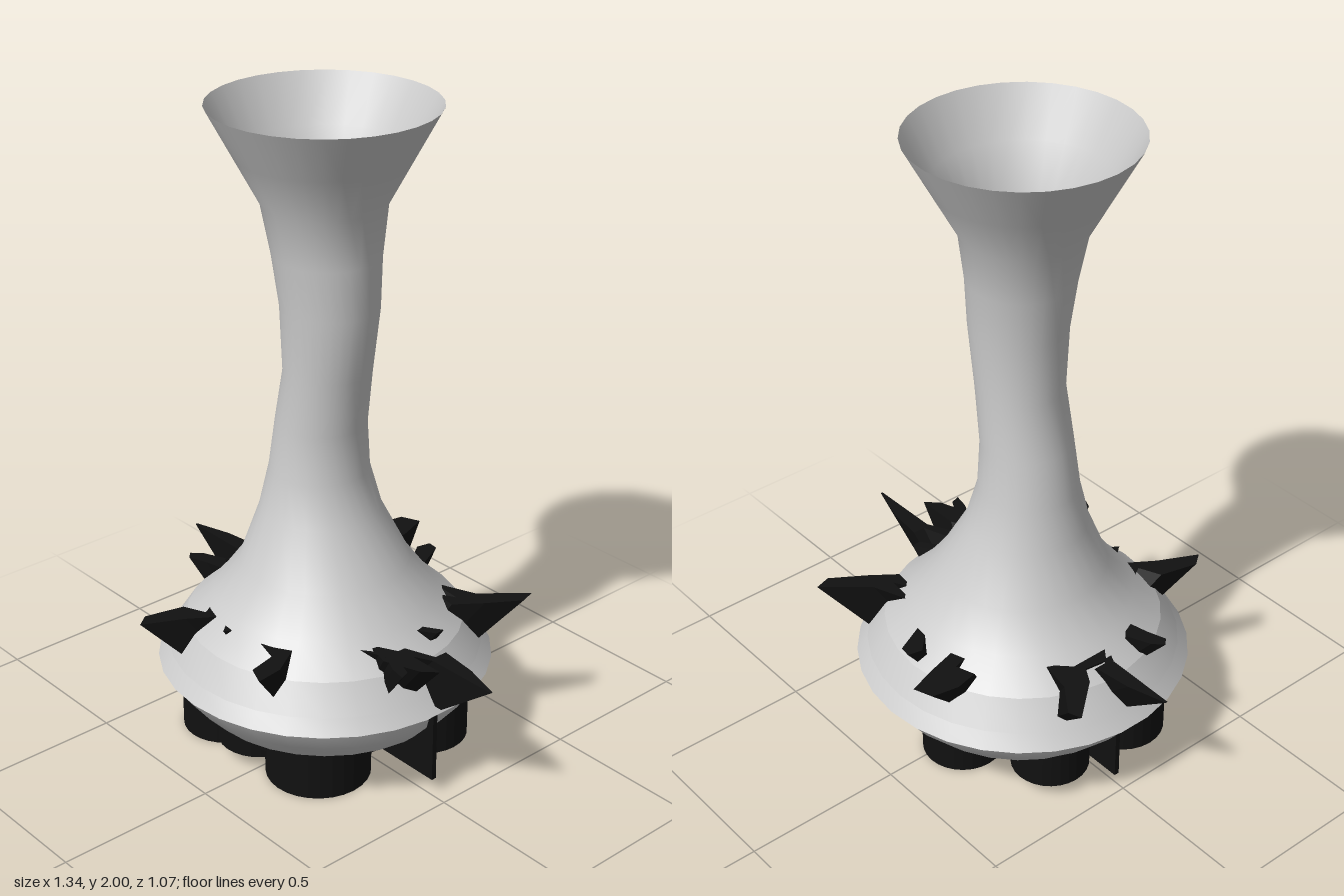
import * as THREE from 'three';

const grey = new THREE.MeshStandardMaterial({ color: 0xcccccc, side: THREE.DoubleSide });
const black = new THREE.MeshStandardMaterial({ color: 0x111111, side: THREE.DoubleSide });

function add(group, name, geometry, material) {
  const mesh = new THREE.Mesh(geometry, material);
  mesh.name = name;
  group.add(mesh);
}

// Skin over rings given as [y, centre x, radius x, radius z], listed bottom to top
function loft(rings, sides = 30) {
  const pos = [], index = [], row = sides + 1;
  rings.forEach(([y, cx, rx, rz = rx], j) => {
    for (let i = 0; i <= sides; i++) {
      const a = (i % sides) / sides * Math.PI * 2;
      pos.push(cx + rx * Math.sin(a), y, -0.008 + rz * Math.cos(a));
      if (j && i < sides) {
        const p = (j - 1) * row + i;
        index.push(p, p + 1, p + row, p + 1, p + row + 1, p + row);
      }
    }
  });
  const g = new THREE.BufferGeometry();
  g.setAttribute('position', new THREE.Float32BufferAttribute(pos, 3));
  g.setIndex(index);
  g.computeVertexNormals();
  // Match the normals across the closing seam
  const n = g.attributes.normal, v = new THREE.Vector3(), w = new THREE.Vector3();
  rings.forEach((_, j) => {
    const a = j * row, b = a + sides;
    v.fromBufferAttribute(n, a).add(w.fromBufferAttribute(n, b)).normalize();
    n.setXYZ(a, v.x, v.y, v.z);
    n.setXYZ(b, v.x, v.y, v.z);
  });
  return g;
}

// Plan outline in (x, z), extruded downwards between two heights
function slab(shape, bottom, top) {
  const g = new THREE.ExtrudeGeometry(shape, { depth: top - bottom, bevelEnabled: false, curveSegments: 14 });
  return g.rotateX(Math.PI / 2).translate(0, top, 0);
}

// Leaf-like spike: flat top, underside drawn in towards the axis
function spike(outline, top) {
  const bottom = 0.31;
  const g = slab(new THREE.Shape(outline.map(([x, z]) => new THREE.Vector2(x, z))), bottom, top);
  const p = g.attributes.position;
  for (let i = 0; i < p.count; i++) {
    if (p.getY(i) < bottom + 0.01) p.setXYZ(i, p.getX(i) * 0.71, bottom, p.getZ(i) * 0.71);
  }
  g.computeVertexNormals();
  return g;
}

// Round lobe with a curved slot cut through it
function lobe(x, z, r, turn) {
  const s = new THREE.Shape();
  s.absarc(x, z, r, 0, Math.PI * 2);
  const slot = new THREE.Path();
  slot.absarc(x, z, r * 0.72, turn, turn + 2.2, false);
  slot.absarc(x, z, r * 0.45, turn + 2.2, turn, true);
  s.holes.push(slot);
  return s;
}

export function createModel() {
  const model = new THREE.Group();

  // Vase body
  const body = new THREE.Group();
  body.name = 'vaseBody';
  model.add(body);
  add(body, 'neckAndFunnel', loft([
    [0.42, -0.04, 0.42], [0.5, -0.04, 0.335], [0.61, -0.04, 0.255], [0.77, -0.06, 0.183],
    [0.9, -0.065, 0.15], [1.05, -0.056, 0.136], [1.22, -0.027, 0.13], [1.42, -0.018, 0.152, 0.138],
    [1.57, -0.03, 0.16, 0.155], [1.72, -0.04, 0.18], [1.86, -0.04, 0.255], [2, -0.04, 0.33],
  ]), grey);
  add(body, 'shoulder', loft([[0.335, -0.04, 0.475], [0.42, -0.04, 0.42]]), grey);
  add(body, 'flange', loft([[0.29, -0.04, 0.508], [0.335, -0.04, 0.475]]), grey);
  add(body, 'flangeUnderside', loft([[0.285, -0.037, 0.475, 0.5], [0.29, -0.04, 0.508]]), grey);
  add(body, 'lowerBowl', loft([
    [0.155, -0.035, 0.395], [0.22, -0.035, 0.455], [0.285, -0.037, 0.475, 0.5],
  ]), grey);

  // Spikes breaking through the shoulder
  const spikes = new THREE.Group();
  spikes.name = 'spikes';
  model.add(spikes);
  [
    [[-0.24, -0.51], [-0.18, -0.535], [-0.15, -0.45], [-0.12, -0.34], [-0.16, -0.3], [-0.18, -0.38], [-0.24, -0.36], [-0.255, -0.43]],
    [[-0.05, -0.455], [-0.015, -0.45], [0.035, -0.345], [-0.01, -0.36], [-0.06, -0.41]],
    [[0.38, -0.47], [0.395, -0.42], [0.33, -0.32], [0.27, -0.24], [0.19, -0.25], [0.25, -0.28], [0.14, -0.29], [0.27, -0.34]],
    [[0.28, -0.07], [0.36, -0.12], [0.36, -0.09], [0.3, -0.05]],
    [[0.52, 0.05], [0.48, 0.09], [0.37, 0.13], [0.28, 0.1], [0.38, 0.05]],
    [[0.47, 0.15], [0.42, 0.14], [0.36, 0.11], [0.28, 0.14], [0.36, 0.08], [0.46, 0.12]],
    [[0.22, 0.465], [0.16, 0.44], [0.14, 0.35], [0.06, 0.33], [0.15, 0.28], [0.21, 0.38]],
    [[-0.06, 0.37], [-0.1, 0.32], [-0.03, 0.32]],
    [[-0.25, 0.53], [-0.28, 0.49], [-0.25, 0.37], [-0.18, 0.34], [-0.22, 0.27], [-0.13, 0.32], [-0.19, 0.41]],
    [[-0.5, 0.15], [-0.48, 0.17], [-0.42, 0.15], [-0.33, 0.13], [-0.4, 0.09], [-0.47, 0.12]],
    [[-0.58, -0.25], [-0.54, -0.265], [-0.45, -0.2], [-0.34, -0.18], [-0.4, -0.12], [-0.4, 0], [-0.44, -0.03], [-0.43, -0.1], [-0.48, -0.13]],
  ].forEach((outline) => add(spikes, 'spike', spike(outline, 0.48), black));
  for (const s of [-1, 1]) {
    add(spikes, 'longSpike', spike([
      [0.67, -0.01], [0.55, -0.045], [0.43, -0.06], [0.43, -0.02], [0.29, 0.03], [0.32, 0.06], [0.44, 0], [0.67, -0.003],
    ].map(([x, z]) => [s * x, z]), 0.46), black);
  }

  // Dark slotted base under the bowl
  const base = new THREE.Group();
  base.name = 'base';
  model.add(base);
  const plate = new THREE.Shape();
  plate.absarc(-0.04, 0.01, 0.3, 0, Math.PI * 2);
  [[0, -0.08, 0.035], [-0.16, -0.02, 0.06], [0.14, -0.03, 0.05]].forEach(([x, z, r]) => {
    const hole = new THREE.Path();
    hole.absarc(x, z, r, 0, Math.PI * 2);
    if (r > 0.04) return; // only the small vent goes right through
    plate.holes.push(hole);
  });
  add(base, 'basePlate', slab(plate, 0.08, 0.16), black);
  [
    [0.12, 0.16, 0.16, 0.5, 0], [-0.27, 0.2, 0.135, 2, 0], [-0.03, -0.24, 0.125, 4, 0],
    [-0.3, -0.12, 0.12, 3, 0.05], [0.23, -0.17, 0.135, 5, 0.05], [-0.08, 0.22, 0.13, 1, 0.05],
  ].forEach(([x, z, r, turn, bottom]) => add(base, 'baseLobe', slab(lobe(x, z, r, turn), bottom, 0.2), black));

  // Upright fins along the x axis
  [[0.2, 0.445], [-0.48, -0.25]].forEach(([a, b]) => {
    const fin = new THREE.BoxGeometry(b - a, 0.25, 0.016).translate((a + b) / 2, 0.175, -0.01);
    add(base, 'baseFin', fin, black);
  });
  return model;
}
